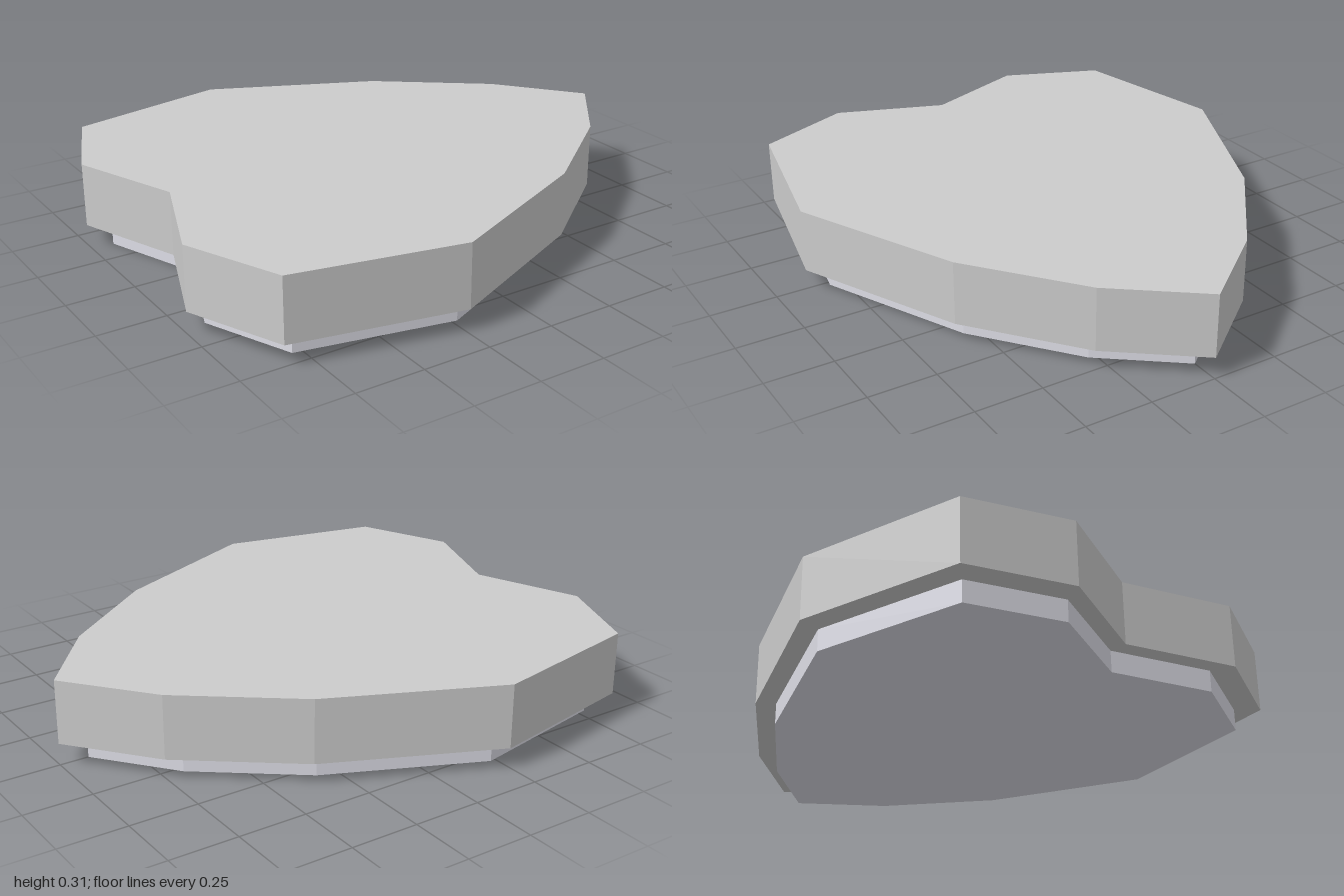
import * as THREE from 'three';

// Half outline (x, z) from the notch round to the pointed tip
const half = [[-0.85, 0], [-1, 0.4], [-0.85, 0.76], [-0.24, 0.885], [0.37, 0.61], [0.76, 0.305], [1, 0]];

// Mirrored outline extruded upwards from y0 to y1
function slab(name, scale, shiftX, y0, y1, color) {
  const mirrored = half.slice(1, -1).reverse().map(([x, z]) => [x, -z]);
  const points = [...half, ...mirrored].map(([x, z]) => new THREE.Vector2(x * scale + shiftX, z * scale));
  const geometry = new THREE.ExtrudeGeometry(new THREE.Shape(points), { depth: y1 - y0, bevelEnabled: false });
  geometry.rotateX(-Math.PI / 2).translate(0, y0, 0);
  const mesh = new THREE.Mesh(geometry, new THREE.MeshStandardMaterial({ color, flatShading: true }));
  mesh.name = name;
  return mesh;
}

export function createModel() {
  const model = new THREE.Group();
  model.name = 'heartShapedPlate';
  model.add(slab('upperPlate', 1, 0, 0.08, 0.315, 0xcccccc));
  // Slightly smaller, paler foot beneath the plate
  model.add(slab('recessedBase', 0.907, -0.013, 0, 0.08, 0xdddde6));
  return model;
}
